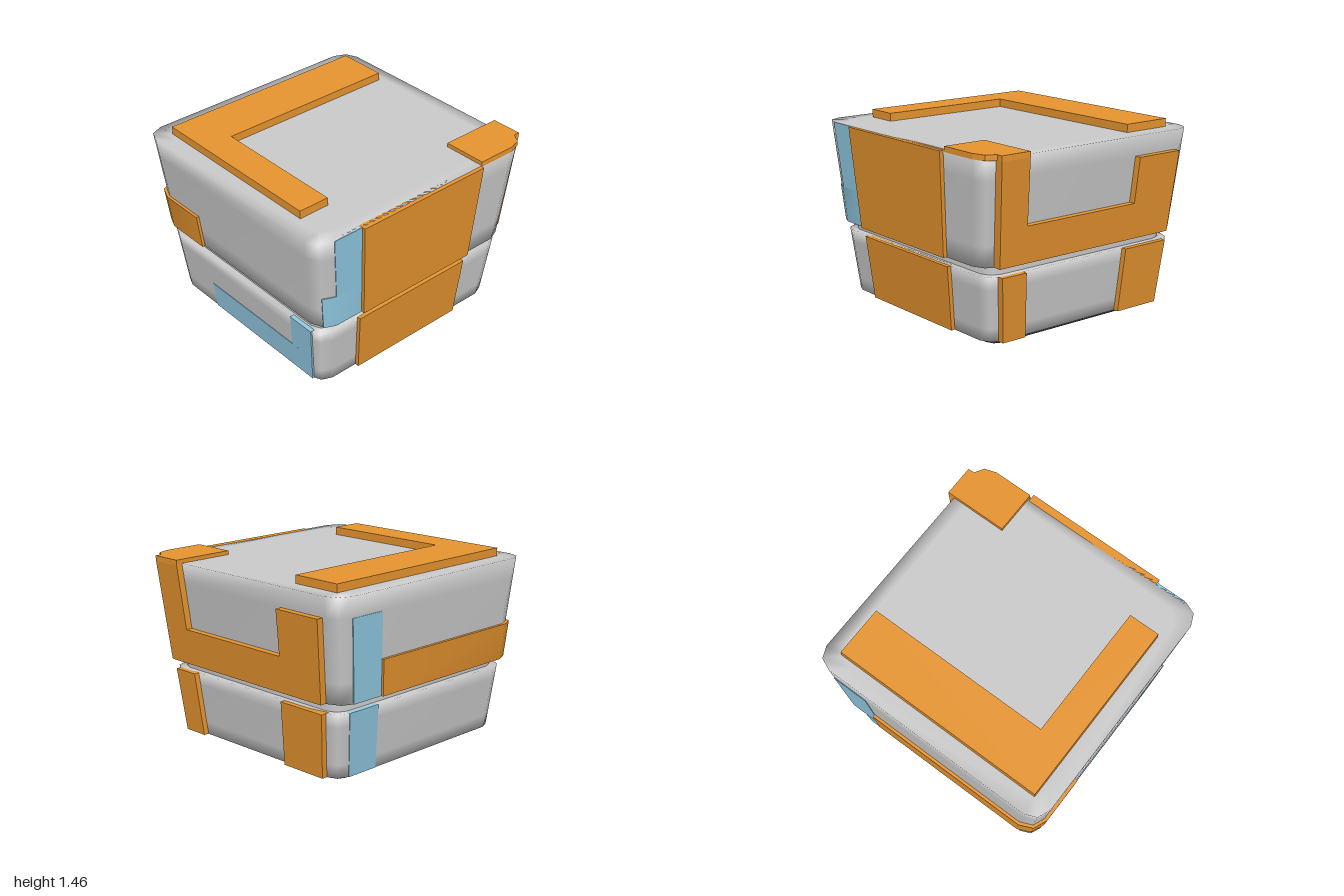
import * as THREE from 'three';
import { toCreasedNormals } from 'three/addons/utils/BufferGeometryUtils.js';

const GREY = 0xcccccc, ORANGE = 0xe8952f, BLUE = 0x92cbe4, DARK = 0x333333;
const CX = -0.02, CZ = 0.025;

// The two tapered blocks: height range, half sizes at the top and bottom, corner size
const UPPER = { y0: 0.64, y1: 1.4, top: [0.96, 0.975], bottom: [0.905, 0.89], r: 0.13 };
const LOWER = { y0: 0.09, y1: 0.57, top: [0.87, 0.89], bottom: [0.82, 0.84], r: 0.11 };

function mesh(name, geometry, color) {
  const m = new THREE.Mesh(geometry, new THREE.MeshStandardMaterial({ color }));
  m.name = name;
  return m;
}

// Skin over closed rings of [x, y, z] points, listed bottom to top, with both ends capped
function loft(rings) {
  const n = rings[0].length, index = [];
  const last = (rings.length - 1) * n;
  for (let k = 0; k < rings.length - 1; k++) {
    for (let i = 0; i < n; i++) {
      const a = k * n + i, b = k * n + (i + 1) % n;
      index.push(a, b, b + n, a, b + n, a + n);
    }
  }
  for (let i = 0; i < n / 2 - 1; i++) {
    const a = i, b = i + 1, c = n - 2 - i, d = n - 1 - i;
    index.push(last + a, last + b, last + c, last + a, last + c, last + d);
    index.push(a, c, b, a, d, c);
  }
  const g = new THREE.BufferGeometry();
  g.setAttribute('position', new THREE.Float32BufferAttribute(rings.flat(2), 3));
  g.setIndex(index);
  g.computeVertexNormals();
  return g;
}

// Rectangle with three-point corners, counter-clockwise from above
function roundedRing(hx, hz, r, y) {
  const m = r * 0.3;
  const c = [[hx, hz - r], [hx - m, hz - m], [hx - r, hz]];
  const rev = [...c].reverse();
  const quads = [
    c.map(([x, z]) => [x, -z]),
    rev.map(([x, z]) => [-x, -z]),
    c.map(([x, z]) => [-x, z]),
    rev.map(([x, z]) => [x, z]),
  ];
  return quads.flat().map(([x, z]) => [CX + x, y, CZ + z]);
}

function halfAt(block, y) {
  const t = (y - block.y0) / (block.y1 - block.y0);
  return [0, 1].map((i) => THREE.MathUtils.lerp(block.bottom[i], block.top[i], t));
}

// Tapered block with supporting loops that keep the smooth shading near the edges
function blockGeometry(block) {
  const ring = (y, inset) => {
    const [hx, hz] = halfAt(block, y);
    return roundedRing(hx - inset, hz - inset, block.r, y);
  };
  const { y0, y1 } = block, s = (y1 - y0) * 0.2;
  return loft([ring(y0, 0.1), ring(y0, 0), ring(y0 + s, 0), ring(y1 - s, 0), ring(y1, 0), ring(y1, 0.1)]);
}

// Plate that follows a block's tapered wall along a plan path given at the block's top
function plate(name, block, path, y0, y1, thick, color) {
  const normals = path.map((p, i) => {
    const a = path[Math.max(i - 1, 0)], b = path[Math.min(i + 1, path.length - 1)];
    const tx = b[0] - a[0], tz = b[1] - a[1], l = Math.hypot(tx, tz);
    return [-tz / l, tx / l];
  });
  const ring = (y) => {
    const h = halfAt(block, y);
    const side = (d) => path.map(([x, z], i) => [
      CX + (x - CX) * h[0] / block.top[0] + normals[i][0] * d,
      y,
      CZ + (z - CZ) * h[1] / block.top[1] + normals[i][1] * d,
    ]);
    return [...side(thick), ...side(-0.03).reverse()];
  };
  return mesh(name, toCreasedNormals(loft([ring(y0), ring(y1)]), 0.9), color);
}

// Flat plate on the roof, outlined in x and z
function roofPlate(name, outline, height) {
  const shape = new THREE.Shape(outline.map(([x, z]) => new THREE.Vector2(x, z)));
  const g = new THREE.ExtrudeGeometry(shape, { depth: height + 0.01, bevelEnabled: false });
  g.rotateX(Math.PI / 2).translate(0, 1.4 + height, 0);
  return mesh(name, g, ORANGE);
}

export function createModel() {
  const group = new THREE.Group();

  // Foot, blocks and the neck between them
  const straight = (hx, hz, r, y0, y1) =>
    toCreasedNormals(loft([roundedRing(hx, hz, r, y0), roundedRing(hx, hz, r, y1)]), 0.9);
  group.add(
    mesh('foot', straight(0.655, 0.67, 0.08, 0, 0.1), DARK),
    mesh('lowerBlock', blockGeometry(LOWER), GREY),
    mesh('neck', straight(0.825, 0.845, 0.1, 0.56, 0.65), GREY),
    mesh('upperBlock', blockGeometry(UPPER), GREY),
  );

  // Raised plates on the roof
  group.add(
    roofPlate('roofLPlate', [[-0.84, -0.82], [-0.45, -0.82], [-0.45, 0.62], [0.6, 0.62], [0.6, 0.86], [-0.84, 0.86]], 0.06),
    roofPlate('roofCornerPlate', [[0.6, -1], [0.84, -1], [0.84, -0.95], [0.91, -0.91], [0.94, -0.82], [0.94, -0.51], [0.6, -0.51]], 0.03),
  );

  // Plates: name, block, plan path, bottom, top, thickness, colour
  const xr = 0.94, xl = -0.98, zf = 1, zb = -0.95;
  const lr = 0.85, ll = -0.89, lf = 0.915, lb = -0.865;
  const plates = [
    ['upperSidePlate', UPPER, [[xr, 0.62], [xr, -0.5]], 0.64, 1.4, 0.03, ORANGE],
    ['upperBackStrip', UPPER, [[0.84, zb], [0.6, zb]], 0.64, 1.4, 0.05, ORANGE],
    ['upperBackBand', UPPER, [[0.6, zb], [-0.43, zb]], 0.64, 0.91, 0.05, ORANGE],
    ['upperBackBlock', UPPER, [[-0.43, zb], [-0.83, zb]], 0.64, 1.25, 0.05, ORANGE],
    ['upperWrapBand', UPPER, [[xl, -0.53], [xl, 0.87], [-0.941, 0.961], [-0.85, zf], [-0.47, zf]], 0.64, 0.91, 0.022, ORANGE],
    ['upperSideInlay', UPPER, [[xl, -0.82], [xl, -0.53]], 0.64, 1.25, 0.004, BLUE],
    ['upperCornerInlay', UPPER, [[xr, 0.86], [xr, 0.62]], 0.91, 1.4, 0.004, BLUE],
    ['upperCornerInlayBase', UPPER, [[0.901, 0.961], [xr, 0.87], [xr, 0.62]], 0.64, 0.91, 0.004, BLUE],
    ['lowerSidePlate', LOWER, [[lr, 0.57], [lr, -0.45]], 0.09, 0.57, 0.03, ORANGE],
    ['lowerBackStrip', LOWER, [[0.76, lb], [0.55, lb]], 0.09, 0.57, 0.04, ORANGE],
    ['lowerBackBlock', LOWER, [[-0.38, lb], [-0.78, lb]], 0.09, 0.57, 0.04, ORANGE],
    ['lowerFrontInlay', LOWER, [[-0.42, lf], [0.76, lf]], 0.09, 0.3, 0.004, BLUE],
    ['lowerFrontInlayColumn', LOWER, [[0.54, lf], [0.76, lf]], 0.3, 0.57, 0.004, BLUE],
    ['lowerSideInlay', LOWER, [[ll, -0.75], [ll, -0.47]], 0.09, 0.57, 0.004, BLUE],
  ];
  for (const p of plates) group.add(plate(...p));
  return group;
}
